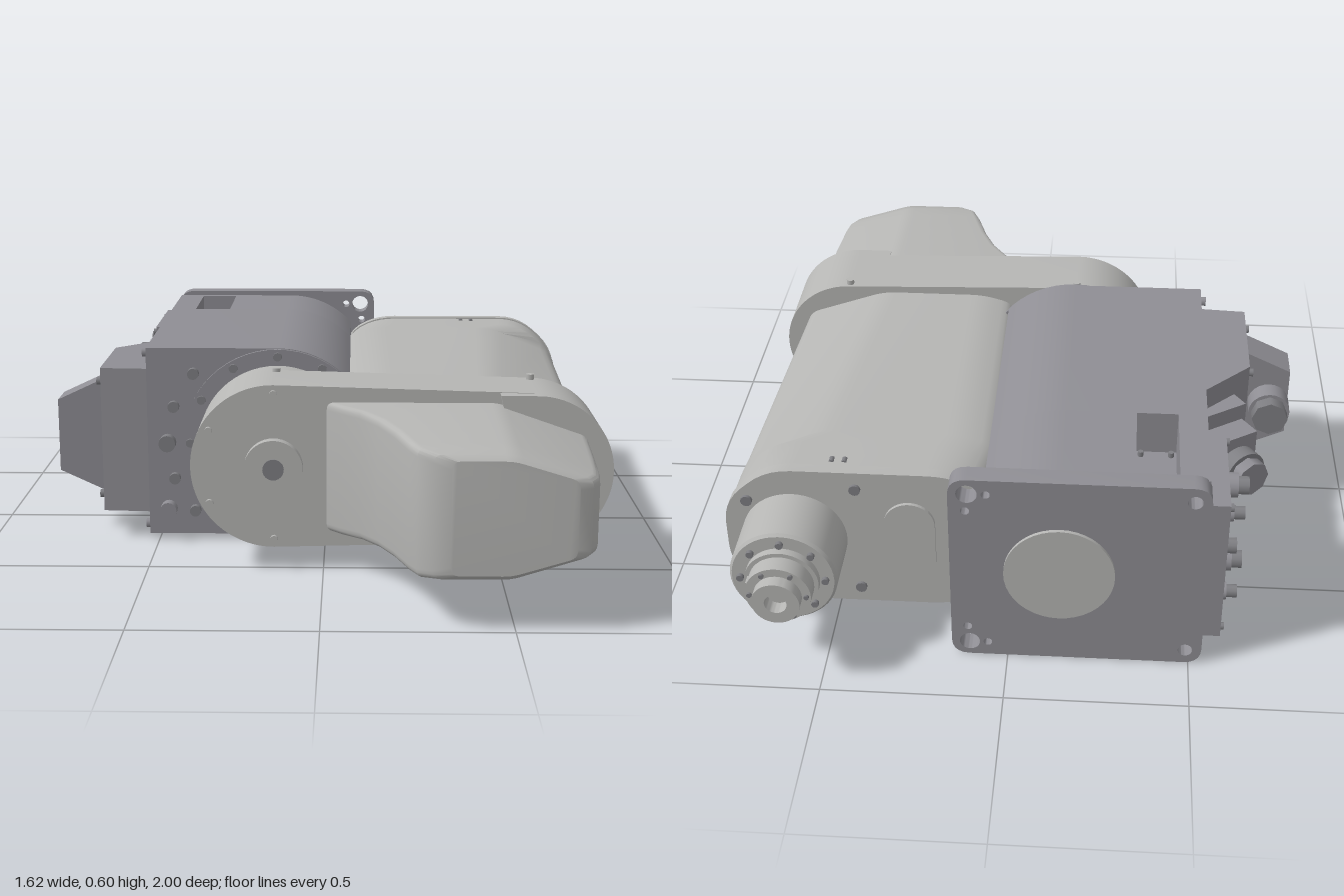
import * as THREE from 'three';
import { toCreasedNormals } from 'three/addons/utils/BufferGeometryUtils.js';

const CY = 0.305; // shared height of all axes
const mat = (name, color) => Object.assign(new THREE.MeshStandardMaterial({ color }), { name });

export function createModel() {
  const model = new THREE.Group();
  const light = mat('light grey', 0xb6b6b4);
  const dark = mat('dark grey', 0x8f8e94);
  const fitting = mat('fitting grey', 0x7f7f83);

  const add = (name, geo, material, parent = model) => {
    const m = new THREE.Mesh(geo, material);
    m.name = name;
    parent.add(m);
    return m;
  };
  const box = (name, material, x0, x1, y0, y1, z0, z1) =>
    add(name, new THREE.BoxGeometry(x1 - x0, y1 - y0, z1 - z0)
      .translate((x0 + x1) / 2, (y0 + y1) / 2, (z0 + z1) / 2), material);
  const cylZ = (name, material, r, x, y, z0, z1, sides = 40) =>
    add(name, new THREE.CylinderGeometry(r, r, z1 - z0, sides)
      .rotateX(Math.PI / 2).translate(x, y, (z0 + z1) / 2), material);
  const cylX = (name, material, r, x0, x1, y, z, sides = 24) =>
    add(name, new THREE.CylinderGeometry(r, r, x1 - x0, sides)
      .rotateZ(Math.PI / 2).translate((x0 + x1) / 2, y, z), material);
  const extrude = (shape, z0, z1) => toCreasedNormals(
    new THREE.ExtrudeGeometry(shape, { depth: z1 - z0, bevelEnabled: false, curveSegments: 28 })
      .translate(0, 0, z0), 0.5);
  const poly = pts => new THREE.Shape(pts.map(p => new THREE.Vector2(...p)));

  // rounds every corner of a polygon with a short quadratic curve
  const roundPoly = (pts, r, n = 5) => {
    const out = [], v = pts.map(p => new THREE.Vector2(...p));
    v.forEach((p, i) => {
      const a = v[(i + v.length - 1) % v.length], b = v[(i + 1) % v.length];
      const toward = q => p.clone().lerp(q, Math.min(r / p.distanceTo(q), 0.48));
      out.push(...new THREE.QuadraticBezierCurve(toward(a), p, toward(b)).getPoints(n));
    });
    return out;
  };
  // skins counter-clockwise sections ordered by rising z
  const loft = sections => {
    const pos = [], n = sections[0].pts.length;
    const put = (s, i) => pos.push(s.pts[i % n].x, s.pts[i % n].y, s.z);
    for (let k = 0; k + 1 < sections.length; k++) {
      const s = sections[k], t = sections[k + 1];
      for (let i = 0; i < n; i++) {
        put(s, i); put(s, i + 1); put(t, i + 1);
        put(s, i); put(t, i + 1); put(t, i);
      }
    }
    const cap = (s, flip) => THREE.ShapeUtils.triangulateShape(s.pts, []).forEach(([a, b, c]) =>
      (flip ? [a, c, b] : [a, b, c]).forEach(i => put(s, i)));
    cap(sections[0], true);
    cap(sections[sections.length - 1], false);
    const g = new THREE.BufferGeometry();
    g.setAttribute('position', new THREE.Float32BufferAttribute(pos, 3));
    return toCreasedNormals(g, 0.55);
  };
  const bolts = (name, material, r, x, z0, z1, count, size, start = 0) => {
    for (let i = 0; i < count; i++) {
      const a = start + i * 2 * Math.PI / count;
      cylZ(name, material, size, x + r * Math.cos(a), CY + r * Math.sin(a), z0, z1, 10);
    }
  };

  // base body: square on one side, round on the other
  const arc = [];
  for (let i = 0; i <= 14; i++) {
    const a = -Math.PI / 2 + i * 0.06;
    arc.push([-0.14 + 0.285 * Math.cos(a), CY + 0.285 * Math.sin(a)]);
  }
  const mirror = pts => pts.map(([x, y]) => [x, 2 * CY - y]).reverse();
  const lower = [[-0.53, 0.02], ...arc];
  const notched = [[-0.53, 0.02], [-0.45, 0.02], [-0.45, 0.15], [-0.335, 0.15], [-0.335, 0.02], ...arc];
  add('baseBody', extrude(poly([...lower, ...mirror(lower)]), -0.47, 0.23), dark);
  add('basePocketSection', extrude(poly([...notched, ...mirror(notched)]), -0.75, -0.47), dark);
  add('baseRearSection', extrude(poly([...lower, ...mirror(lower)]), -0.775, -0.75), dark);
  for (const x of [-0.435, -0.35]) for (const z of [-0.73, -0.49])
    for (const y of [0.145, 2 * CY - 0.145])
      add('pocketBolt', new THREE.CylinderGeometry(0.008, 0.008, 0.02, 8).translate(x, y, z), fitting);

  // mounting plate with bolt holes at the corners
  const plate = new THREE.Shape(roundPoly([[-0.535, 0.005], [0.155, 0.005], [0.155, 0.605], [-0.535, 0.605]], 0.05));
  for (const s of [-1, 1]) for (const [x, dy, r] of [[0.105, 0.255, 0.028], [0.055, 0.255, 0.012], [0.11, 0.2, 0.012], [-0.49, 0.255, 0.02]]) {
    const hole = new THREE.Path();
    hole.absarc(x, CY + s * dy, r, 0, 2 * Math.PI, true);
    plate.holes.push(hole);
  }
  add('mountingPlate', extrude(plate, -0.83, -0.77), dark);
  cylZ('plateDisc', light, 0.15, -0.14, CY, -0.84, -0.83);

  // turning joint between base and link
  cylZ('jointRing', dark, 0.283, -0.14, CY, 0.23, 0.24, 56);
  cylZ('jointNeck', light, 0.235, -0.14, CY, 0.24, 0.305, 56);
  bolts('jointBolt', fitting, 0.262, -0.14, 0.24, 0.25, 12, 0.013, Math.PI / 2);
  for (const dy of [-0.21, -0.11, 0.11, 0.21])
    cylZ('baseFrontBolt', fitting, 0.017, dy * dy > 0.03 ? -0.39 : -0.45, CY + dy, 0.23, 0.25, 12);
  cylZ('baseFrontPlug', fitting, 0.025, -0.47, CY, 0.23, 0.26, 16);
  for (const y of [0.04, 0.57]) cylX('baseSideBolt', dark, 0.014, -0.545, -0.53, y, 0.19, 10);

  // link between the two joints
  const link = new THREE.Shape();
  link.absarc(0.592, CY, 0.215, -Math.PI / 2, Math.PI / 2, false);
  link.absarc(-0.14, CY, 0.235, Math.PI / 2, Math.PI * 1.5, false);
  add('link', extrude(link, 0.3, 0.51), light);
  const raised = new THREE.Shape();
  raised.moveTo(0.49, CY - 0.215);
  raised.absarc(0.592, CY, 0.215, -Math.PI / 2, Math.PI / 2, false);
  raised.lineTo(0.49, CY + 0.215);
  add('linkRaisedEnd', extrude(raised, 0.51, 0.547), light);
  cylZ('linkCap', light, 0.083, -0.14, CY, 0.51, 0.54);
  cylZ('linkCapCentre', fitting, 0.03, -0.14, CY, 0.54, 0.544, 24);
  bolts('linkBolt', light, 0.21, -0.14, 0.51, 0.522, 6, 0.011, Math.PI / 2);
  for (const s of [-1, 1]) for (const [x, z] of [[-0.14, 0.32], [0.592, 0.32]])
    add('linkEdgeBolt', new THREE.CylinderGeometry(0.012, 0.012, 0.02, 10)
      .translate(x, CY + s * (x < 0 ? 0.235 : 0.22), z), light);

  // forearm and front cover share a section that narrows towards its outer side
  const section = (z, xl, xr, xc, h, hs, left, r) => ({
    z, pts: roundPoly([[xl, CY - left], [xl + 0.1, CY - h], [xc, CY - h], [xr, CY - hs],
      [xr, CY + hs], [xc, CY + h], [xl + 0.1, CY + h], [xl, CY + left]], r),
  });
  add('forearm', loft([
    section(-0.685, 0.06, 0.78, 0.66, 0.218, 0.11, 0.16, 0.07),
    section(-0.57, 0.045, 0.778, 0.65, 0.218, 0.11, 0.17, 0.07),
    section(-0.51, 0.04, 0.764, 0.54, 0.216, 0.125, 0.18, 0.05),
    section(0.305, 0.06, 0.735, 0.48, 0.198, 0.11, 0.17, 0.04),
  ]), light);
  add('forearmEndPlate', loft([-0.715, -0.68].map(z =>
    section(z, 0.055, 0.785, 0.66, 0.222, 0.11, 0.16, 0.07))), light);
  const oval = new THREE.Shape();
  oval.absarc(0.275, CY + 0.06, 0.07, 0, Math.PI, false);
  oval.absarc(0.275, CY - 0.06, 0.07, Math.PI, Math.PI * 2, false);
  add('endPlateCover', extrude(oval, -0.725, -0.715), light);
  for (const x of [0.13, 0.42, 0.72]) for (const s of [-1, 1])
    cylZ('endPlateBolt', fitting, 0.016, x, CY + s * (x === 0.42 ? 0.17 : 0.12), -0.724, -0.715, 12);
  for (const [x, y] of [[0.455, 0.5265], [0.49, 0.5265]])
    cylZ('forearmScrew', fitting, 0.008, x, y - 0.006, -0.66, -0.64, 8);

  const coverRows = [
    [0.5, 0, 0.735, 0.187], [0.55, 0.045, 0.733, 0.186], [0.6, 0.1, 0.73, 0.184],
    [0.68, 0.15, 0.726, 0.181], [0.78, 0.19, 0.72, 0.177], [0.9, 0.225, 0.712, 0.172],
    [0.95, 0.245, 0.705, 0.17], [0.985, 0.285, 0.685, 0.163], [1.0, 0.33, 0.65, 0.15],
  ];
  add('frontCover', loft(coverRows.map(([z, xl, xr, h]) => ({
    z, pts: roundPoly([[xl, CY - h], [0.485, CY - h], [xr, CY - 0.1], [xr, CY + 0.1],
      [0.485, CY + h], [xl, CY + h]], 0.022, 4),
  }))), light);

  // rear wrist: stepped, hollow spindle
  const steps = [[0, -0.71], [0.145, -0.71], [0.145, -0.885], [0.138, -0.893], [0.1, -0.893], [0.1, -0.915],
    [0.088, -0.915], [0.088, -0.965], [0.064, -0.965], [0.064, -1], [0.03, -1], [0.03, -0.96], [0, -0.96]];
  add('wrist', toCreasedNormals(new THREE.LatheGeometry(steps.map(([r, z]) => new THREE.Vector2(r, -z)), 48)
    .rotateX(-Math.PI / 2).translate(0.595, CY, 0), 0.5), light);
  bolts('wristBolt', fitting, 0.115, 0.595, -0.905, -0.893, 8, 0.01);
  bolts('flangeBolt', fitting, 0.076, 0.595, -0.972, -0.965, 6, 0.007);
  box('wristKey', light, 0.655, 0.685, CY - 0.02, CY + 0.02, -0.945, -0.915);

  // connection cabinet on the side of the base
  const cabinet = poly([[-0.52, 0.22], [-0.67, 0.21], [-0.67, -0.11], [-0.53, -0.25], [-0.52, -0.25]]);
  add('cabinet', extrude(cabinet, -0.525, -0.085).rotateX(Math.PI / 2), dark);
  add('cabinetWedge', extrude(poly([[-0.81, 0.195], [-0.66, 0.125], [-0.66, 0.485], [-0.81, 0.415]]), 0.04, 0.15), dark);
  for (const y of [0.13, 0.48]) for (const z of [-0.07, 0.18])
    cylX('cabinetBolt', fitting, 0.012, -0.685, -0.67, y, z, 10);
  cylZ('plugCollar', dark, 0.063, -0.75, CY, -0.02, 0.04, 24);
  cylZ('plug', fitting, 0.055, -0.75, CY, -0.06, -0.02, 8);
  cylZ('cabinetFoot', dark, 0.025, -0.47, 0.1, 0.23, 0.265, 16);

  // slanted socket
  const socket = new THREE.Group();
  socket.name = 'slantedSocket';
  socket.position.set(-0.56, CY, -0.19);
  socket.rotation.y = Math.atan2(-0.55, -0.83);
  model.add(socket);
  add('socketFrame', new THREE.BoxGeometry(0.15, 0.3, 0.09).translate(0, 0, 0.02), dark, socket);
  add('socketBody', new THREE.BoxGeometry(0.13, 0.2, 0.1).translate(0, 0, 0.09), dark, socket);
  add('socketCollar', new THREE.CylinderGeometry(0.066, 0.066, 0.05, 28).rotateX(Math.PI / 2).translate(0, 0, 0.16), fitting, socket);
  add('socketPlug', new THREE.CylinderGeometry(0.055, 0.055, 0.04, 8).rotateX(Math.PI / 2).translate(0, 0, 0.2), dark, socket);

  // rear side panel with small fittings
  box('sidePanel', dark, -0.585, -0.53, 0.08, 0.53, -0.8, -0.46);
  for (const [y, z, r, x] of [[0.16, -0.56, 0.035, -0.65], [0.16, -0.7, 0.025, -0.63], [0.305, -0.68, 0.03, -0.62],
    [0.43, -0.57, 0.035, -0.65], [0.45, -0.72, 0.025, -0.63]]) {
    cylX('fittingCollar', dark, r, x + 0.03, -0.58, y, z, 16);
    cylX('fittingPlug', fitting, r * 0.75, x, x + 0.03, y, z, 10);
  }
  for (const y of [0.1, 0.51]) for (const z of [-0.78, -0.48])
    cylX('panelBolt', fitting, 0.01, -0.595, -0.585, y, z, 8);

  return model;
}
